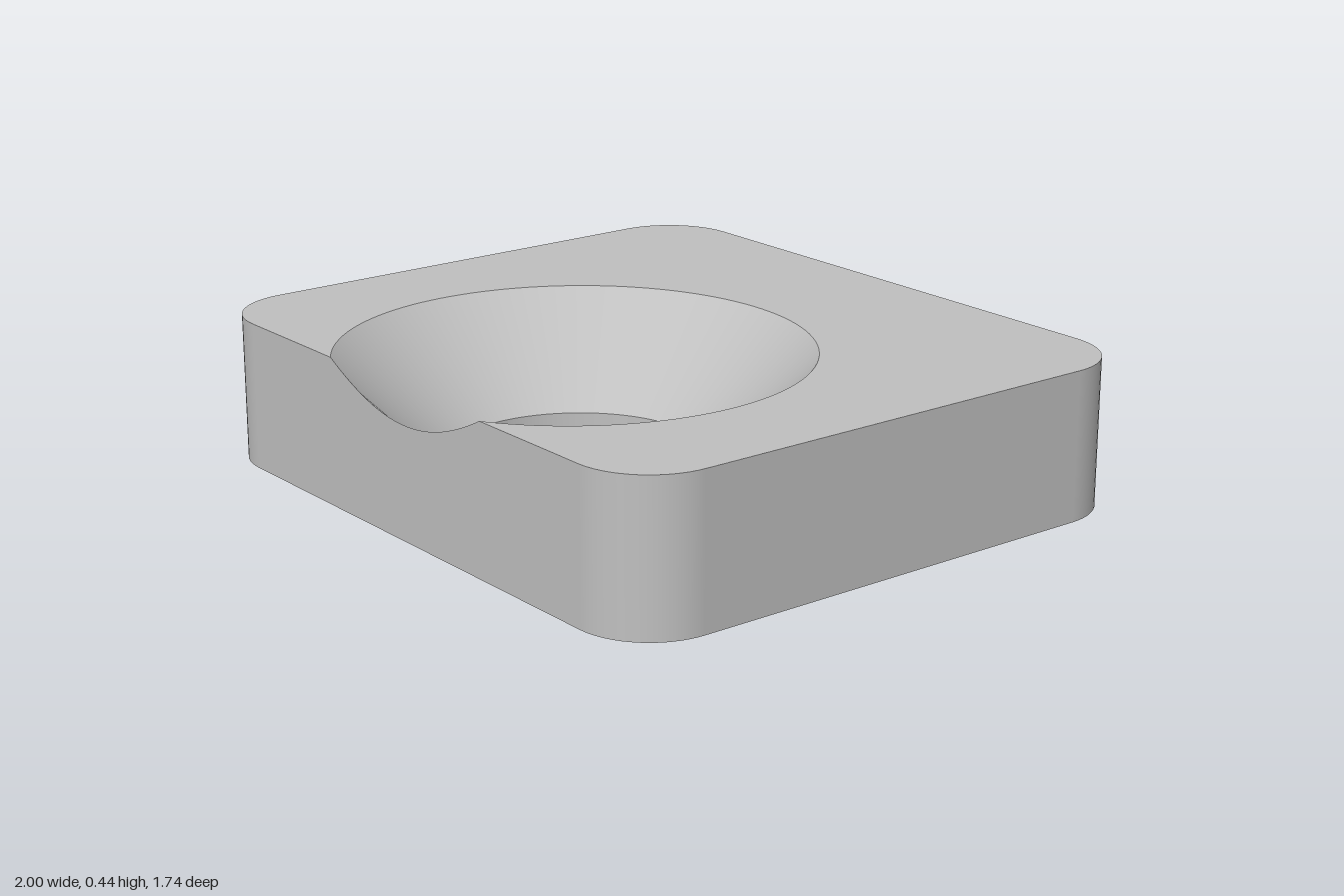
import * as THREE from 'three';

const W = 1, D = 0.87, H = 0.435, CORNER = 0.22; // half width, half depth, height, corner radius
const CZ = 0.3, BORE = 0.37, SINK = 0.673;       // hole centre, bore radius, countersink radius
const BORE_H = H - (SINK - BORE);                // 45 degree countersink starts here
const REACH = D - CZ;                            // hole centre to front wall
const PHI = Math.acos(REACH / SINK);             // half angle where the sink breaks the front wall

// Quad strip closed around a loop, running from row a to row b
function strip(a, b, normalOf) {
  const pos = [], nor = [], idx = [];
  a.forEach((p, i) => {
    pos.push(...p.toArray(), ...b[i].toArray());
    const n = normalOf(p, i).normalize().toArray();
    nor.push(...n, ...n);
    const j = (i + 1) % a.length;
    idx.push(2 * i, 2 * j, 2 * j + 1, 2 * i, 2 * j + 1, 2 * i + 1);
  });
  const g = new THREE.BufferGeometry();
  g.setAttribute('position', new THREE.Float32BufferAttribute(pos, 3));
  g.setAttribute('normal', new THREE.Float32BufferAttribute(nor, 3));
  g.setIndex(idx);
  return g;
}

const range = (n, from, to) => Array.from({ length: n + 1 }, (_, i) => from + (to - from) * i / n);
const ring = (angle, r, y) => new THREE.Vector3(r * Math.sin(angle), y, CZ + r * Math.cos(angle));

export function createModel() {
  const group = new THREE.Group();
  const grey = new THREE.MeshStandardMaterial({ color: 0xc0c0c0 });
  grey.name = 'plain grey';
  const add = (name, geometry) => {
    const mesh = new THREE.Mesh(geometry, grey);
    mesh.name = name;
    group.add(mesh);
  };

  // Angles run from the front towards +x
  const front = range(32, -PHI, PHI);
  const back = range(96, PHI, 2 * Math.PI - PHI);
  const angles = [...front.slice(0, -1), ...back.slice(0, -1)];

  // Rounded outline from the notch's +x end round to its -x end
  const notchX = SINK * Math.sin(PHI);
  const outline = [new THREE.Vector3(notchX, H, D)];
  [[1, 1], [1, -1], [-1, -1], [-1, 1]].forEach(([sx, sz], k) => {
    for (const t of range(16, k * Math.PI / 2, (k + 1) * Math.PI / 2)) {
      outline.push(new THREE.Vector3(
        sx * (W - CORNER) + CORNER * Math.sin(t), H, sz * (D - CORNER) + CORNER * Math.cos(t)));
    }
  });
  outline.push(new THREE.Vector3(-notchX, H, D));

  // Curved notch where the countersink meets the front wall
  const notch = front.slice(1, -1).map(a => {
    const r = REACH / Math.cos(a);
    return ring(a, r, BORE_H + r - BORE);
  });

  // Outer walls
  const wallTop = [...outline, ...notch];
  const wallBase = wallTop.map(p => new THREE.Vector3(p.x, 0, p.z));
  add('outerWall', strip(wallBase, wallTop, p => new THREE.Vector3(
    p.x - THREE.MathUtils.clamp(p.x, CORNER - W, W - CORNER), 0,
    p.z - THREE.MathUtils.clamp(p.z, CORNER - D, D - CORNER))));

  // Top face, open at the notch
  const rimArc = back.slice(1, -1).reverse().map(a => ring(a, SINK, H));
  const topShape = new THREE.Shape([...outline, ...rimArc].map(p => new THREE.Vector2(p.x, -p.z)));
  add('topFace', new THREE.ShapeGeometry(topShape).rotateX(-Math.PI / 2).translate(0, H, 0));

  // Bottom face with the bore opening
  const baseShape = new THREE.Shape(wallBase.map(p => new THREE.Vector2(p.x, p.z)));
  baseShape.holes.push(new THREE.Path(angles.map(a => {
    const p = ring(a, BORE, 0);
    return new THREE.Vector2(p.x, p.z);
  })));
  add('bottomFace', new THREE.ShapeGeometry(baseShape).rotateX(Math.PI / 2));

  // Countersink cone, trimmed by the front wall
  const sinkTop = angles.map((a, i) => {
    const r = i < front.length - 1 ? REACH / Math.cos(a) : SINK;
    return ring(a, r, BORE_H + r - BORE);
  });
  const boreTop = angles.map(a => ring(a, BORE, BORE_H));
  add('countersink', strip(sinkTop, boreTop,
    (p, i) => new THREE.Vector3(-Math.sin(angles[i]), 1, -Math.cos(angles[i]))));

  // Straight bore below the cone
  add('bore', strip(boreTop, angles.map(a => ring(a, BORE, 0)),
    (p, i) => new THREE.Vector3(-Math.sin(angles[i]), 0, -Math.cos(angles[i]))));

  return group;
}
